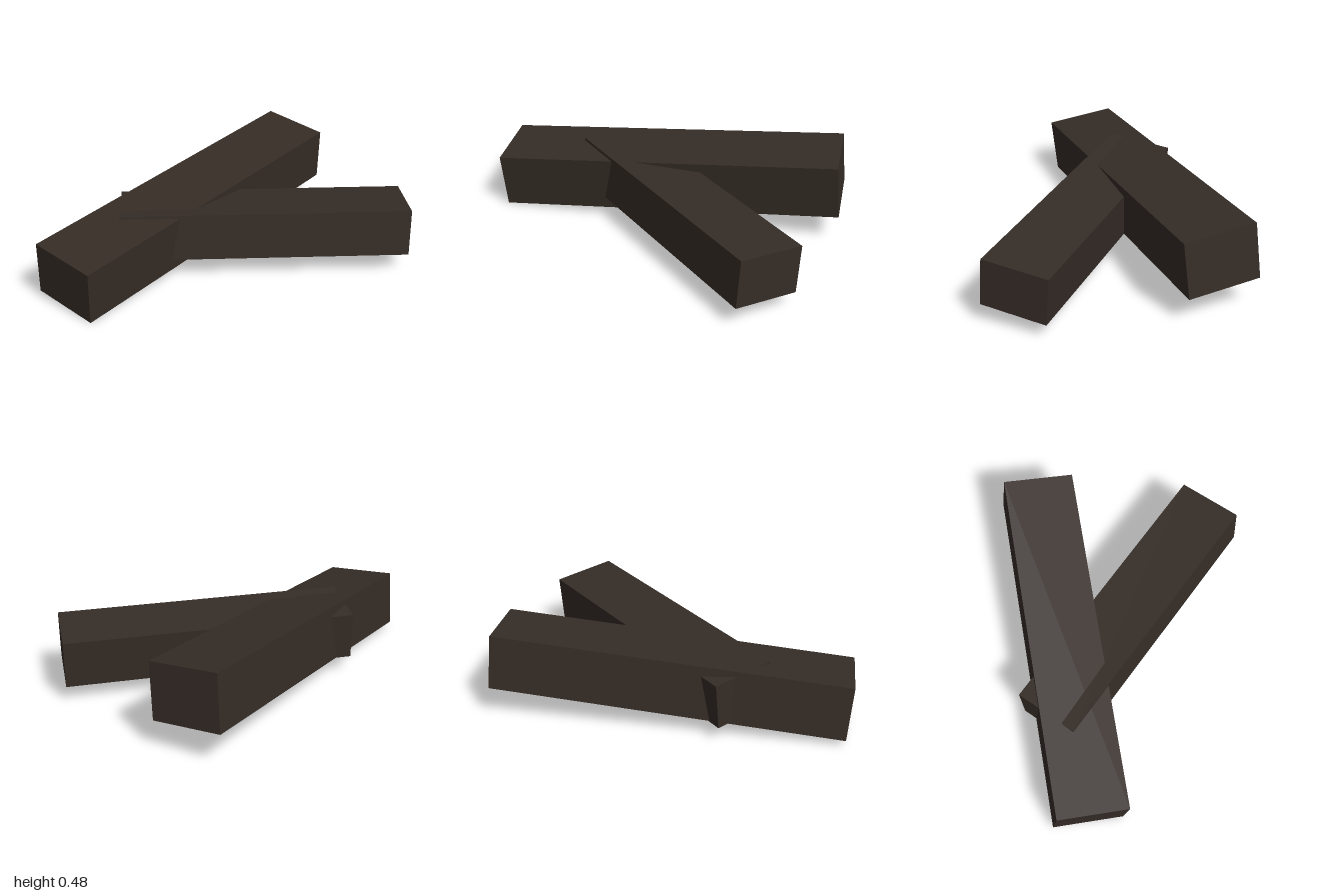
import * as THREE from 'three';

const material = new THREE.MeshStandardMaterial({ color: 0x352c26, flatShading: true });

// Square-cut beam, laid along one direction with its width leaning along another
function beam(name, size, center, along, across) {
  const x = new THREE.Vector3(...along).normalize();
  const y = new THREE.Vector3(...across).cross(x).normalize();
  const z = x.clone().cross(y);
  const mesh = new THREE.Mesh(new THREE.BoxGeometry(...size), material);
  mesh.name = name;
  mesh.quaternion.setFromRotationMatrix(new THREE.Matrix4().makeBasis(x, y, z));
  mesh.position.set(...center);
  return mesh;
}

export function createModel() {
  const group = new THREE.Group();
  group.name = 'crossedBeams';
  // Long beam, rising to its far end
  group.add(beam('longBeam', [1.896, 0.302, 0.384], [-0.03, 0.2475, -0.207], [1.81, 0.15, -0.545], [0.115, -0.035, 0.366]));
  // Shorter beam, passing through the long one
  group.add(beam('shortBeam', [1.555, 0.257, 0.357], [0.23, 0.231, 0.146], [1.365, -0.005, 0.745], [-0.174, 0.027, 0.31]));
  return group;
}
